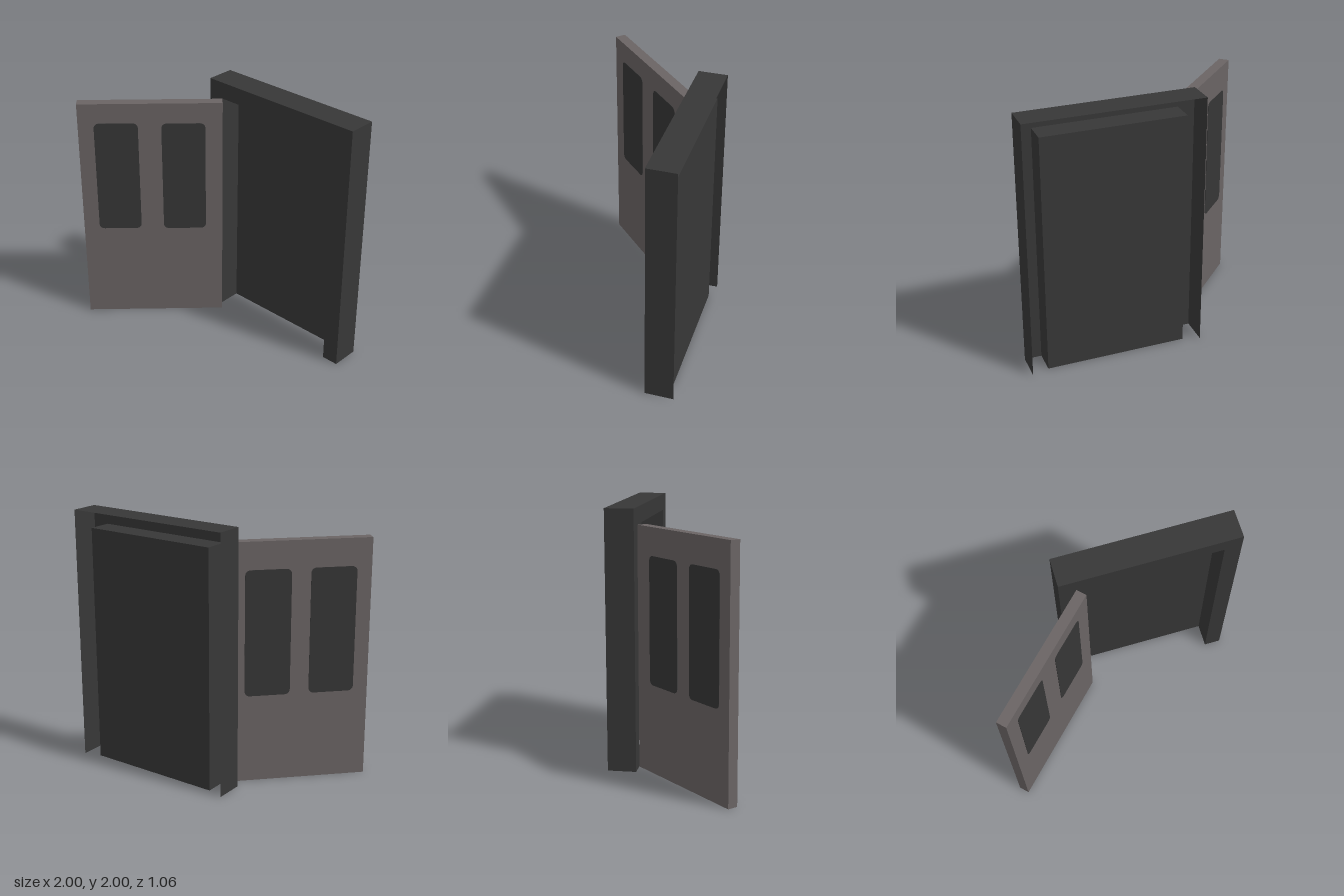
import * as THREE from 'three';

const mat = (name, color, side = THREE.FrontSide) => {
  const m = new THREE.MeshStandardMaterial({ color, side });
  m.name = name;
  return m;
};

export function createModel() {
  const model = new THREE.Group();
  model.name = 'openDoorway';
  const frameMat = mat('charcoalFrame', 0x373737, THREE.DoubleSide);
  const doorMat = mat('warmGreyDoor', 0x6a6464);
  const glassMat = mat('darkWindow', 0x363636);

  const add = (parent, name, geometry, material, x, y, z) => {
    const mesh = new THREE.Mesh(geometry, material);
    mesh.name = name;
    mesh.position.set(x, y, z);
    parent.add(mesh);
    return mesh;
  };

  // Door frame: a hollow shell, open at the back and bottom
  const frame = new THREE.Group();
  frame.name = 'doorFrame';
  model.add(frame);
  const outer = { l: -0.35, r: 1, top: 2 };
  const inner = { l: -0.22, r: 0.87, top: 1.87 };
  const front = -0.31, back = -0.53, recess = -0.49;

  // U-shaped front face
  const face = new THREE.Shape([
    [outer.l, 0], [inner.l, 0], [inner.l, inner.top], [inner.r, inner.top],
    [inner.r, 0], [outer.r, 0], [outer.r, outer.top], [outer.l, outer.top],
  ].map(([x, y]) => new THREE.Vector2(x, y)));
  add(frame, 'frameFace', new THREE.ShapeGeometry(face), frameMat, 0, 0, front);

  // Two side walls and a top wall; sign turns the normals outward or inward
  const sleeve = (name, o, zBack, sign) => {
    const depth = front - zBack, z = (front + zBack) / 2;
    for (const [side, x, dir] of [['Right', o.l, -1], ['Left', o.r, 1]]) {
      const wall = add(frame, name + side, new THREE.PlaneGeometry(depth, o.top), frameMat, x, o.top / 2, z);
      wall.rotation.y = dir * sign * Math.PI / 2;
    }
    const top = add(frame, name + 'Top', new THREE.PlaneGeometry(o.r - o.l, depth), frameMat,
      (o.l + o.r) / 2, o.top, z);
    top.rotation.x = -sign * Math.PI / 2;
  };
  sleeve('outerWall', outer, back, 1);
  sleeve('innerWall', inner, recess, -1);

  // Recessed panel closing the opening
  add(frame, 'recessedPanel', new THREE.PlaneGeometry(inner.r - inner.l, inner.top), frameMat,
    (inner.l + inner.r) / 2, inner.top / 2, recess);

  // Door leaf, swung open by 45 degrees
  const door = new THREE.Group();
  door.name = 'door';
  door.position.set(-0.583, 0, 0.108);
  door.rotation.y = Math.PI / 4;
  model.add(door);
  const thick = 0.08;
  add(door, 'doorLeaf', new THREE.BoxGeometry(1.1, 1.87, thick), doorMat, 0, 0.935, 0);

  // Rounded window plate, centred on its own origin
  const windowPlate = (w, h, r) => {
    const a = w / 2, b = h / 2, s = new THREE.Shape();
    s.absarc(a - r, b - r, r, 0, Math.PI / 2);
    s.absarc(-a + r, b - r, r, Math.PI / 2, Math.PI);
    s.absarc(-a + r, -b + r, r, Math.PI, Math.PI * 1.5);
    s.absarc(a - r, -b + r, r, Math.PI * 1.5, Math.PI * 2);
    return new THREE.ExtrudeGeometry(s, { depth: 0.004, bevelEnabled: false, curveSegments: 4 });
  };
  const frontPlate = windowPlate(0.335, 0.92, 0.04);
  const backPlate = windowPlate(0.345, 0.97, 0.04);
  for (const [x, y] of [[-0.262, 1.25], [0.251, 1.245]])
    add(door, 'frontWindow', frontPlate, glassMat, x, y, thick / 2 - 0.001);
  for (const x of [-0.267, 0.222])
    add(door, 'backWindow', backPlate, glassMat, x, 1.175, -thick / 2 - 0.003);

  return model;
}
